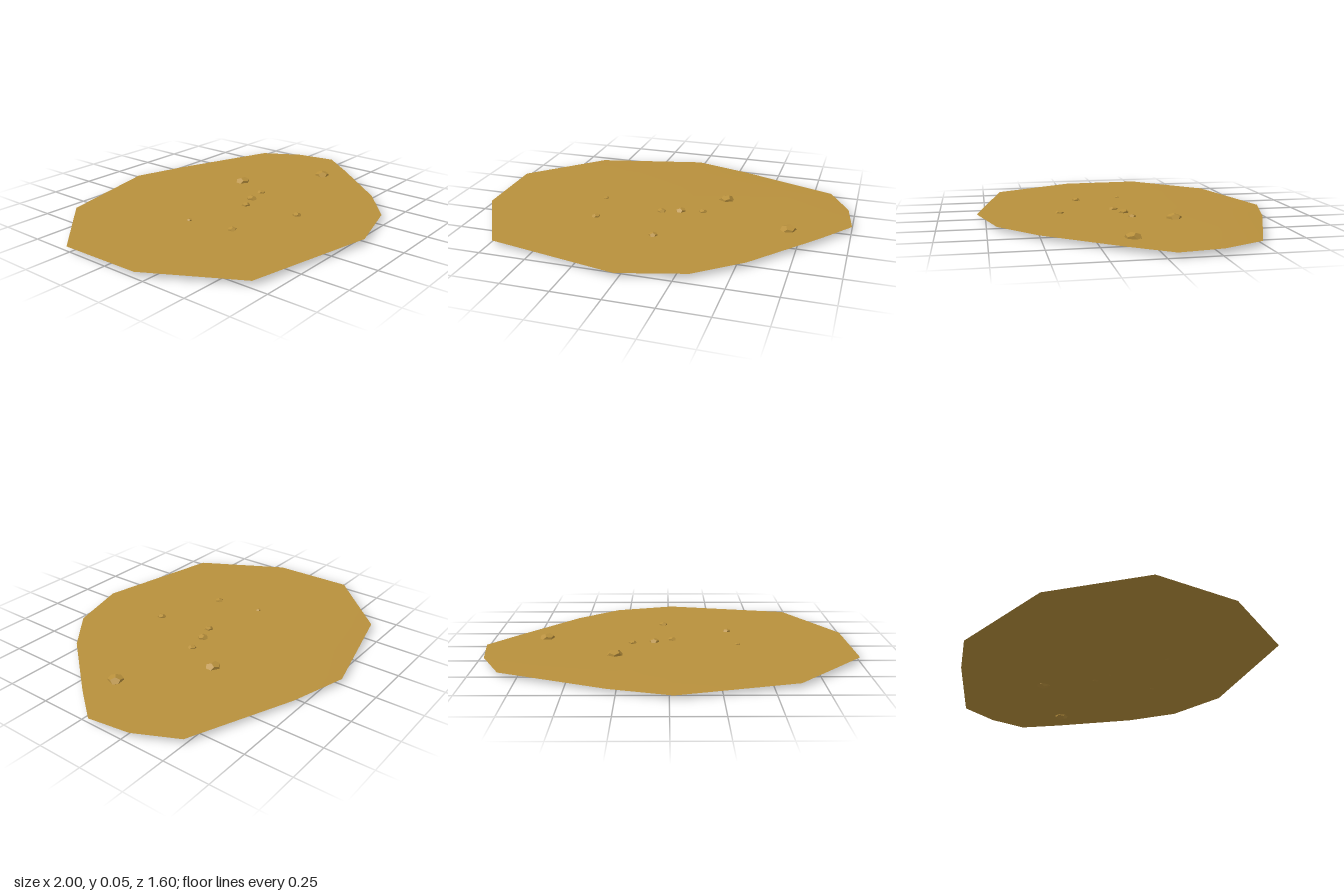
import * as THREE from 'three';

// Slab outline, going round from the back by the left side: x, rim height, z
const RIM = [
  [-0.02, 0.019, -0.8], [0.29, 0.017, -0.71], [0.85, 0.021, -0.49], [0.965, 0.024, -0.27],
  [1, 0.025, -0.045], [0.85, 0.024, 0.15], [0.55, 0.024, 0.51], [0.32, 0.024, 0.7],
  [-0.02, 0.024, 0.795], [-0.73, 0.024, 0.65], [-0.99, 0.024, 0.185], [-1, 0.024, -0.27],
  [-0.63, 0.022, -0.65],
];

// Pebbles: x, z, radius
const PEBBLES = [
  [0.285, -0.22, 0.043], [0.685, 0.085, 0.043], [0.08, 0.01, 0.03], [-0.02, 0.047, 0.025],
  [0.2, -0.013, 0.023], [-0.38, -0.042, 0.015], [-0.34, 0.215, 0.024], [0.03, 0.353, 0.025],
];

// One face of the slab: rim, an inner ring and a centre point
function slabFace(ringScale, ringY, centreY, up) {
  const n = RIM.length;
  const pos = [];
  RIM.forEach((p) => pos.push(...p));
  RIM.forEach(([x, , z]) => pos.push(x * ringScale, ringY, z * ringScale));
  pos.push(0, centreY, 0);
  const index = [];
  const tri = (a, b, c) => index.push(...(up ? [a, b, c] : [a, c, b]));
  for (let i = 0; i < n; i++) {
    const j = (i + 1) % n;
    tri(i, n + i, j);
    tri(j, n + i, n + j);
    tri(n + i, 2 * n, n + j);
  }
  const geo = new THREE.BufferGeometry();
  geo.setAttribute('position', new THREE.Float32BufferAttribute(pos, 3));
  geo.setIndex(index);
  geo.computeVertexNormals();
  return geo;
}

export function createModel() {
  const group = new THREE.Group();
  group.name = 'sandPatch';
  const sand = new THREE.MeshStandardMaterial({ color: 0xb8903c });
  sand.name = 'sand';

  const add = (name, geo) => {
    const mesh = new THREE.Mesh(geo, sand);
    mesh.name = name;
    group.add(mesh);
    return mesh;
  };

  // Thin slab, flat above and shallowly dished below
  add('slabTop', slabFace(0.72, 0.025, 0.025, true));
  add('slabUnderside', slabFace(0.4, 0.012, 0.011, false));

  // Flattened, faceted pebbles half sunk in the slab
  PEBBLES.forEach(([x, z, r], i) => {
    const geo = new THREE.DodecahedronGeometry(r, 0);
    geo.rotateY(i * 0.7);
    geo.scale(1, 0.62, 1);
    geo.computeVertexNormals();
    add('pebble' + (i + 1), geo).position.set(x, 0.025, z);
  });

  return group;
}
